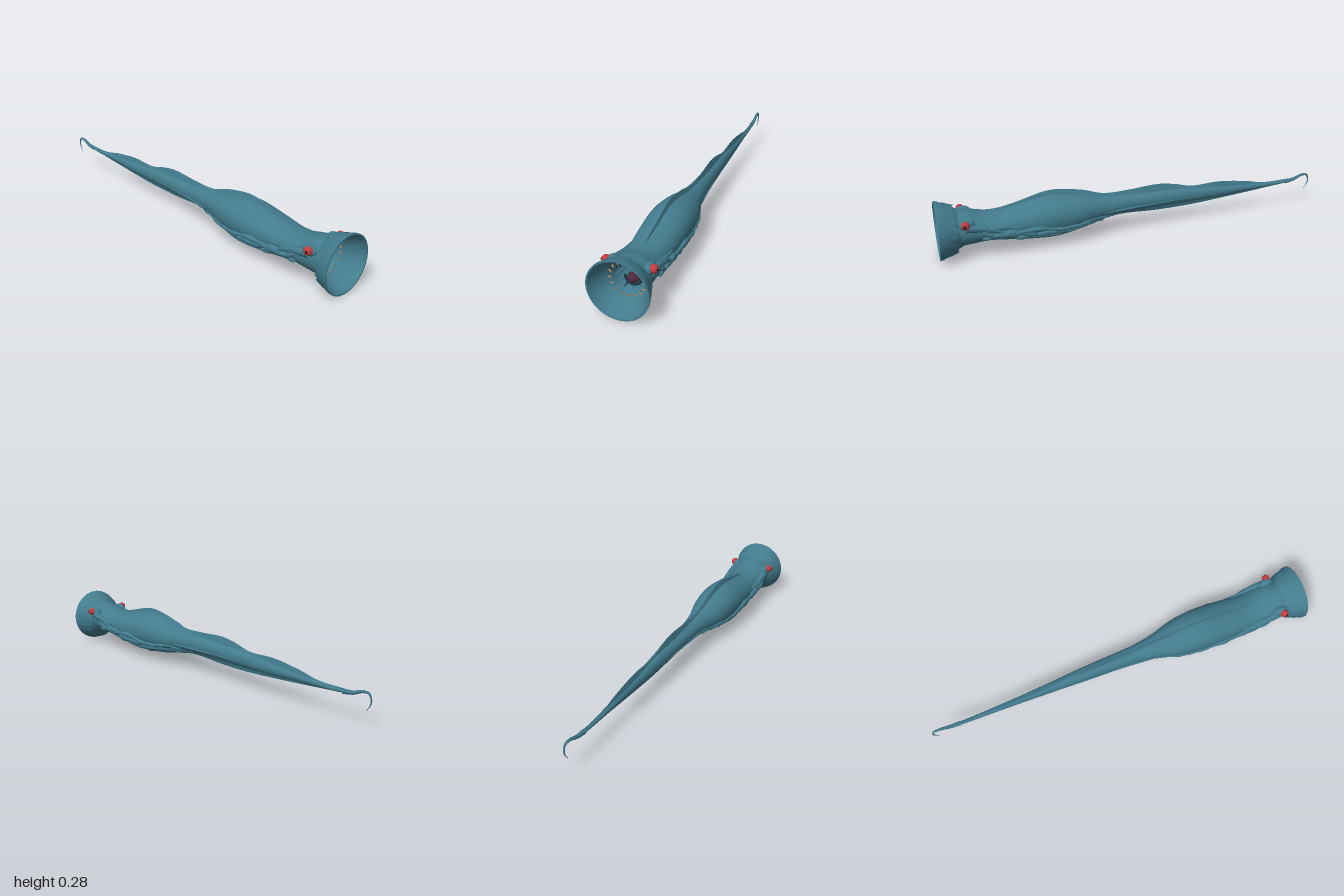
import * as THREE from 'three';

const paint = (name, color, side = THREE.FrontSide) => {
  const m = new THREE.MeshStandardMaterial({ color, side });
  m.name = name;
  return m;
};
const skin = paint('teal skin', 0x437c8e, THREE.DoubleSide);
const red = paint('red eye', 0xc23c3e);
const black = paint('dark pupil', 0x241a20);
const orange = paint('orange tooth', 0xc98a50);
const plum = paint('plum tongue', 0x4c2a3a);
const deep = paint('deep throat', 0x1d3a45, THREE.DoubleSide);

// Grid surface: fn(u, v) gives a point, u runs around and v along.
function surface(nu, nv, fn, closed = true) {
  const pos = [], idx = [], cols = closed ? nu : nu + 1;
  for (let j = 0; j <= nv; j++)
    for (let i = 0; i < cols; i++) pos.push(...fn(i / nu, j / nv));
  for (let j = 0; j < nv; j++)
    for (let i = 0; i < nu; i++) {
      const a = j * cols + i, b = j * cols + ((i + 1) % cols);
      idx.push(a, b, a + cols, b, b + cols, a + cols);
    }
  const g = new THREE.BufferGeometry();
  g.setAttribute('position', new THREE.Float32BufferAttribute(pos, 3));
  g.setIndex(idx);
  g.computeVertexNormals();
  return g;
}

// Smooth interpolation of rows of four numbers [z, a, b, c].
function rowCurve(rows) {
  const spline = (f) => new THREE.CatmullRomCurve3(rows.map(f), false, 'catmullrom', 0.5);
  const p = spline((r) => new THREE.Vector3(r[0], r[1], r[2]));
  const q = spline((r) => new THREE.Vector3(r[3], 0, 0));
  return (t) => [...p.getPoint(t).toArray(), q.getPoint(t).x];
}

// Round tube whose radius follows radius(t).
function taperedTube(points, radius, n = 40, sides = 10) {
  const c = new THREE.CatmullRomCurve3(points.map((p) => new THREE.Vector3(...p)));
  const f = c.computeFrenetFrames(n, false);
  return surface(sides, n, (u, v) => {
    const k = Math.round(v * n), r = radius(v), a = u * Math.PI * 2;
    return c.getPointAt(v)
      .addScaledVector(f.normals[k], Math.cos(a) * r)
      .addScaledVector(f.binormals[k], Math.sin(a) * r).toArray();
  });
}

export function createModel() {
  const model = new THREE.Group();
  model.name = 'eelCreature';
  const add = (name, geo, mat, x = 0, y = 0, z = 0) => {
    const m = new THREE.Mesh(geo, mat);
    m.name = name;
    m.position.set(x, y, z);
    model.add(m);
    return m;
  };

  // Body: rows of z, bottom, top, half width
  const body = rowCurve([
    [0.91, 0.055, 0.235, 0.094], [0.85, 0.06, 0.228, 0.097], [0.78, 0.068, 0.207, 0.097],
    [0.7, 0.07, 0.207, 0.093], [0.6, 0.06, 0.225, 0.102], [0.45, 0.05, 0.25, 0.106],
    [0.32, 0.062, 0.235, 0.094], [0.2, 0.088, 0.207, 0.062], [0.1, 0.1, 0.197, 0.046],
    [0, 0.104, 0.192, 0.04], [-0.2, 0.104, 0.188, 0.033], [-0.4, 0.107, 0.17, 0.023],
    [-0.6, 0.118, 0.155, 0.015], [-0.8, 0.127, 0.145, 0.01], [-0.9, 0.138, 0.152, 0.008],
  ]);
  add('body', surface(36, 90, (u, v) => {
    const [z, lo, hi, w] = body(v), a = u * Math.PI * 2;
    return [Math.cos(a) * w, (lo + hi) / 2 + Math.sin(a) * (hi - lo) / 2, z];
  }), skin);

  // Fins: rows of z, root, edge, half thickness
  const fin = (name, rows) => {
    const f = rowCurve(rows);
    for (const s of [-1, 1])
      add(name, surface(1, 70, (u, v) => {
        const [z, root, edge, w] = f(v);
        return [s * w * (1 - u), root + (edge - root) * u, z];
      }, false), skin);
  };
  fin('dorsalFin', [
    [0.75, 0.18, 0.2, 0.004], [0.6, 0.2, 0.24, 0.012], [0.45, 0.22, 0.273, 0.016],
    [0.3, 0.21, 0.253, 0.016], [0.18, 0.19, 0.217, 0.014], [0.05, 0.175, 0.217, 0.014],
    [-0.1, 0.17, 0.226, 0.014], [-0.2, 0.17, 0.213, 0.013], [-0.3, 0.165, 0.19, 0.012],
    [-0.45, 0.155, 0.193, 0.01], [-0.6, 0.145, 0.175, 0.008], [-0.72, 0.138, 0.152, 0.006],
    [-0.88, 0.14, 0.152, 0.004],
  ]);
  fin('bellyFin', [
    [0.74, 0.09, 0.066, 0.01], [0.6, 0.08, 0.044, 0.03], [0.48, 0.07, 0.024, 0.04],
    [0.44, 0.07, 0.031, 0.04], [0.34, 0.08, 0.045, 0.035], [0.2, 0.105, 0.074, 0.024],
    [0.08, 0.115, 0.09, 0.016], [-0.1, 0.12, 0.083, 0.013], [-0.3, 0.125, 0.086, 0.011],
    [-0.5, 0.128, 0.1, 0.008], [-0.7, 0.133, 0.117, 0.006], [-0.88, 0.142, 0.135, 0.004],
  ]);

  // Hooked tail tip
  add('tailHook', taperedTube([
    [0, 0.138, -0.85], [0, 0.145, -0.9], [0, 0.163, -0.95], [0, 0.161, -0.982],
    [0, 0.125, -0.994], [0, 0.082, -0.973],
  ], (t) => 0.011 * (1 - t) + 0.0008), skin);

  // Sucker mouth: outer bell, rim, inner bell and throat
  const cy = 0.141;
  const lathe = (name, pts, mat) => {
    const g = new THREE.LatheGeometry(pts.map((p) => new THREE.Vector2(...p)), 48);
    g.rotateX(Math.PI / 2);
    return add(name, g, mat, 0, cy, 0);
  };
  lathe('mouthBell', [[0.086, 0.88], [0.096, 0.905], [0.112, 0.925], [0.121, 0.945]], skin);
  lathe('mouthBand', [[0.121, 0.945], [0.127, 0.95], [0.132, 0.97], [0.14, 0.988], [0.141, 1]], skin);
  lathe('mouthRim', [[0.141, 1], [0.134, 1]], skin);
  lathe('mouthLining', [[0.134, 1], [0.122, 0.965], [0.1, 0.925], [0.083, 0.9]], skin);
  lathe('throat', [[0.083, 0.9], [0.077, 0.88], [0.07, 0.85], [0.058, 0.8], [0.035, 0.77], [0, 0.76]], skin);

  // Ragged collar behind the bell
  add('raggedCollar', surface(72, 3, (u, v) => {
    const a = u * Math.PI * 2, jag = 0.012 * Math.abs(((u * 18) % 1) * 2 - 1) + 0.006 * Math.sin(a * 5);
    const z = 0.953 - v * (0.028 + jag), r = 0.129 - v * 0.014;
    return [Math.cos(a) * r, cy + Math.sin(a) * r, z];
  }), skin);

  // Ring of teeth pointing inward and forward
  const tooth = new THREE.ConeGeometry(0.0052, 0.02, 8);
  for (let i = 0; i < 17; i++) {
    const a = Math.PI / 2 + (i + 0.5) / 17 * Math.PI * 2;
    const t = add('tooth', tooth, orange, Math.cos(a) * 0.076, cy - 0.002 + Math.sin(a) * 0.076, 0.905);
    const dir = new THREE.Vector3(-Math.cos(a), -Math.sin(a), 0.45).normalize();
    t.quaternion.setFromUnitVectors(new THREE.Vector3(0, 1, 0), dir);
  }

  // Throat folds with dark gaps
  for (let i = 0; i < 14; i++) {
    const a = (i + 0.5) / 14 * Math.PI * 2, c = Math.cos(a), s = Math.sin(a);
    add('throatFold', taperedTube([
      [c * 0.074, cy + s * 0.074, 0.872], [c * 0.064, cy + s * 0.064, 0.835], [c * 0.045, cy + s * 0.045, 0.79],
    ], (t) => 0.0015 + 0.004 * Math.sin(Math.PI * t), 8, 6), i % 3 ? skin : deep);
  }

  // Tongue, lower gum and uvula
  add('tongue', new THREE.SphereGeometry(1, 24, 16), plum, 0, 0.111, 0.845).scale.set(0.028, 0.022, 0.03);
  const gum = add('gum', new THREE.TorusGeometry(0.037, 0.006, 8, 24, Math.PI), deep, 0, 0.117, 0.85);
  gum.rotation.z = Math.PI;
  add('uvula', new THREE.SphereGeometry(0.012, 16, 12), skin, 0, 0.168, 0.86);
  add('uvulaStalk', taperedTube([[0, 0.215, 0.85], [0, 0.195, 0.855], [0, 0.17, 0.86]], () => 0.004, 8, 8), skin);

  for (const s of [-1, 1]) {
    // Eye on a fleshy socket
    add('eyeSocket', new THREE.SphereGeometry(1, 20, 14), skin, s * 0.084, 0.188, 0.865).scale.set(0.024, 0.026, 0.038);
    add('eye', new THREE.SphereGeometry(0.02, 20, 16), red, s * 0.107, 0.195, 0.875);
    const p = add('pupil', new THREE.SphereGeometry(1, 14, 10), black, s * 0.1245, 0.197, 0.88);
    p.scale.set(0.0035, 0.007, 0.007);

    // Cheek ridge from the eye back onto the flank
    add('cheekRidge', taperedTube([
      [s * 0.088, 0.175, 0.87], [s * 0.096, 0.165, 0.8], [s * 0.094, 0.155, 0.73], [s * 0.096, 0.15, 0.66],
    ], (t) => 0.018 * (1 - t) + 0.005, 20), skin);

    // Lumpy tentacles folded along the flank
    for (let k = 0; k < 3; k++) {
      const pts = [];
      for (let i = 0; i <= 14; i++) {
        const t = i / 14, [z, lo, hi, w] = body(0.125 + t * (0.45 - k * 0.035));
        const y = 0.148 - 0.04 * Math.min(1, t * 2) - k * 0.012 + 0.015 * (1 - t * 0.6) * Math.sin(i * 1.3 + k * 2.1);
        const d = (y - (lo + hi) / 2) / ((hi - lo) / 2);
        pts.push([s * (w * Math.sqrt(Math.max(0.1, 1 - d * d)) + 0.007 * (1 - t)), y, z]);
      }
      add('tentacle', taperedTube(pts,
        (t) => (0.019 - 0.014 * t) * (0.8 + 0.22 * Math.sin(t * 38 + k)) * Math.min(1, 0.4 + t * 6), 90), skin);
    }

    // Folds beneath the belly
    for (const [x, dy] of [[0.035, 0], [0.065, 0.012]])
      add('bellyFold', taperedTube([
        [s * x, 0.082 + dy, 0.84], [s * x, 0.078 + dy, 0.72], [s * x * 1.1, 0.068 + dy, 0.58],
        [s * x * 1.1, 0.062 + dy, 0.44], [s * x * 0.8, 0.075 + dy, 0.3], [s * x * 0.4, 0.1 + dy, 0.14],
      ], (t) => 0.003 + 0.011 * Math.sin(Math.PI * t), 40), skin);

    // Flank ridge running to the tail
    add('flankRidge', taperedTube([
      [s * 0.052, 0.13, 0.2], [s * 0.037, 0.132, 0], [s * 0.03, 0.135, -0.2], [s * 0.02, 0.132, -0.4], [s * 0.011, 0.133, -0.62],
    ], (t) => 0.006 * (1 - t) + 0.001, 40, 8), skin);
  }
  return model;
}
